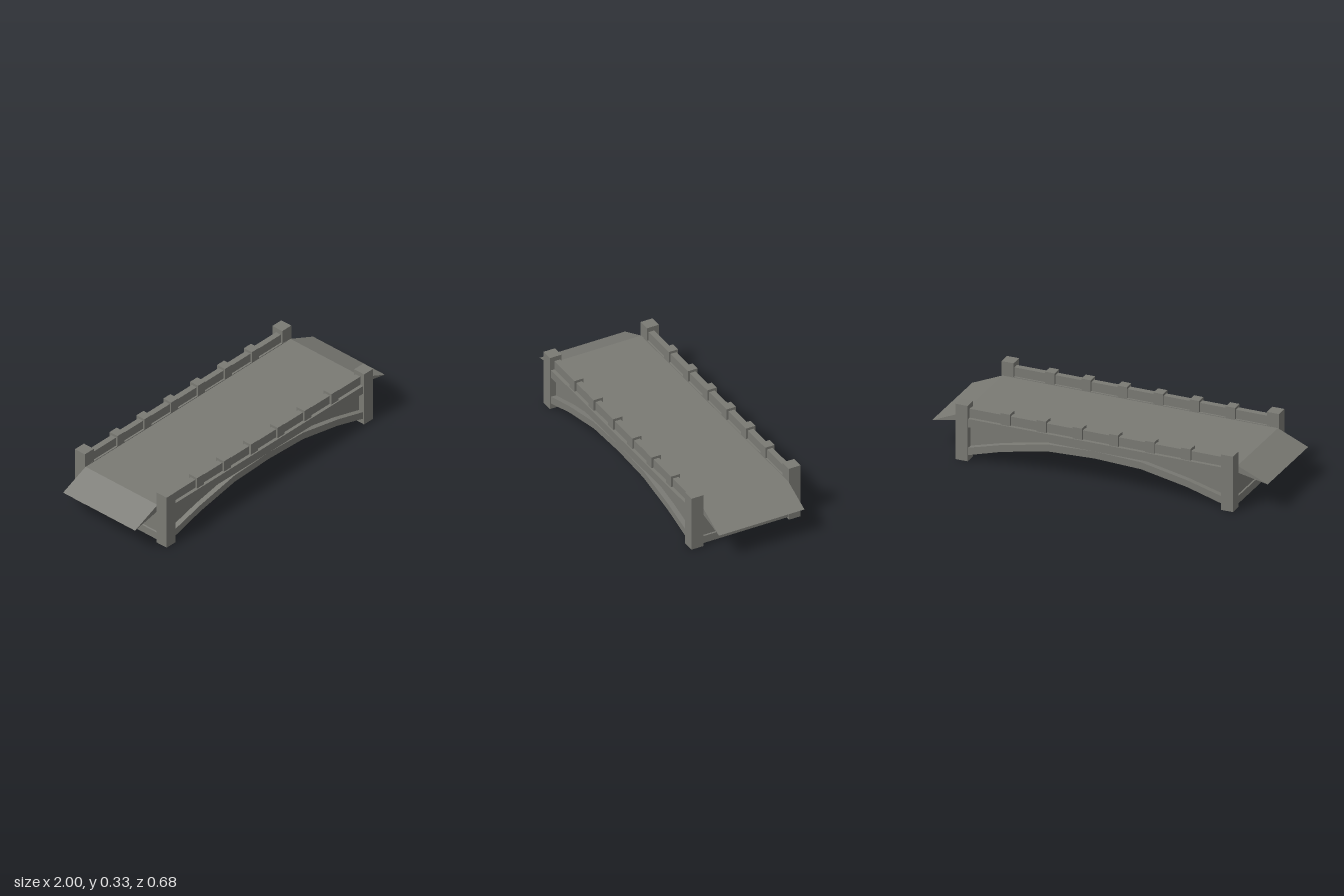
import * as THREE from 'three';

// Low stone arch bridge with parapets and end ramps
export function createModel() {
  const group = new THREE.Group();
  group.name = 'bridge';
  const stone = new THREE.MeshStandardMaterial({ color: 0x7a7a74, flatShading: true });
  stone.name = 'greyStone';

  const add = (name, geometry, x = 0, y = 0, z = 0) => {
    const mesh = new THREE.Mesh(geometry, stone);
    mesh.name = name;
    mesh.position.set(x, y, z);
    group.add(mesh);
  };
  // box given by its limits on each axis
  const block = (name, x0, x1, y0, y1, z0, z1) =>
    add(name, new THREE.BoxGeometry(x1 - x0, y1 - y0, z1 - z0), (x0 + x1) / 2, (y0 + y1) / 2, (z0 + z1) / 2);
  // side outline swept across the bridge
  const sweep = (name, points, halfWidth) => {
    const shape = new THREE.Shape(points.map(([x, y]) => new THREE.Vector2(x, y)));
    const geometry = new THREE.ExtrudeGeometry(shape, { depth: halfWidth * 2, bevelEnabled: false });
    add(name, geometry, 0, 0, -halfWidth);
  };
  // half a curve, completed by mirroring in x
  const mirrored = (half) => [...half.map(([x, y]) => [-x, y]), ...half.slice(0, -1).reverse()];

  const lower = mirrored([[0.82, 0.015], [0.55, 0.093], [0.275, 0.147], [0, 0.158]]);
  const upper = mirrored([[0.82, 0.06], [0.55, 0.134], [0.275, 0.189], [0, 0.2]]);

  // Arch ring and the recessed walls above it
  sweep('archRing', [...lower, ...upper.slice().reverse()], 0.33);
  const wallBase = upper.map(([x, y]) => [x * 0.99, y - 0.01]);
  sweep('spandrelWall', [...wallBase, [0.812, 0.21], [-0.812, 0.21]], 0.3);

  // Roadway with a tapering ramp at each end
  sweep('roadway', [[-1, 0.168], [-0.82, 0.205], [0.82, 0.205], [1, 0.168], [0.82, 0.246], [-0.82, 0.246]], 0.265);

  for (const side of [-1, 1]) {
    const sideBlock = (name, x0, x1, y0, y1, z0, z1) =>
      block(name, x0, x1, y0, y1, side > 0 ? z0 : -z1, side > 0 ? z1 : -z0);

    // Edge beam and parapet
    sideBlock('edgeBeam', -0.79, 0.79, 0.2, 0.25, 0.264, 0.33);
    sideBlock('parapet', -0.79, 0.79, 0.25, 0.303, 0.275, 0.31);
    for (let i = 0; i < 6; i++) {
      const x = (i - 2.5) * 0.215;
      sideBlock('parapetPost', x - 0.028, x + 0.028, 0.25, 0.318, 0.264, 0.322);
    }
    // End pillars
    for (const x of [-0.79, 0.79]) sideBlock('endPillar', x - 0.036, x + 0.036, 0, 0.331, 0.265, 0.338);
  }
  return group;
}
